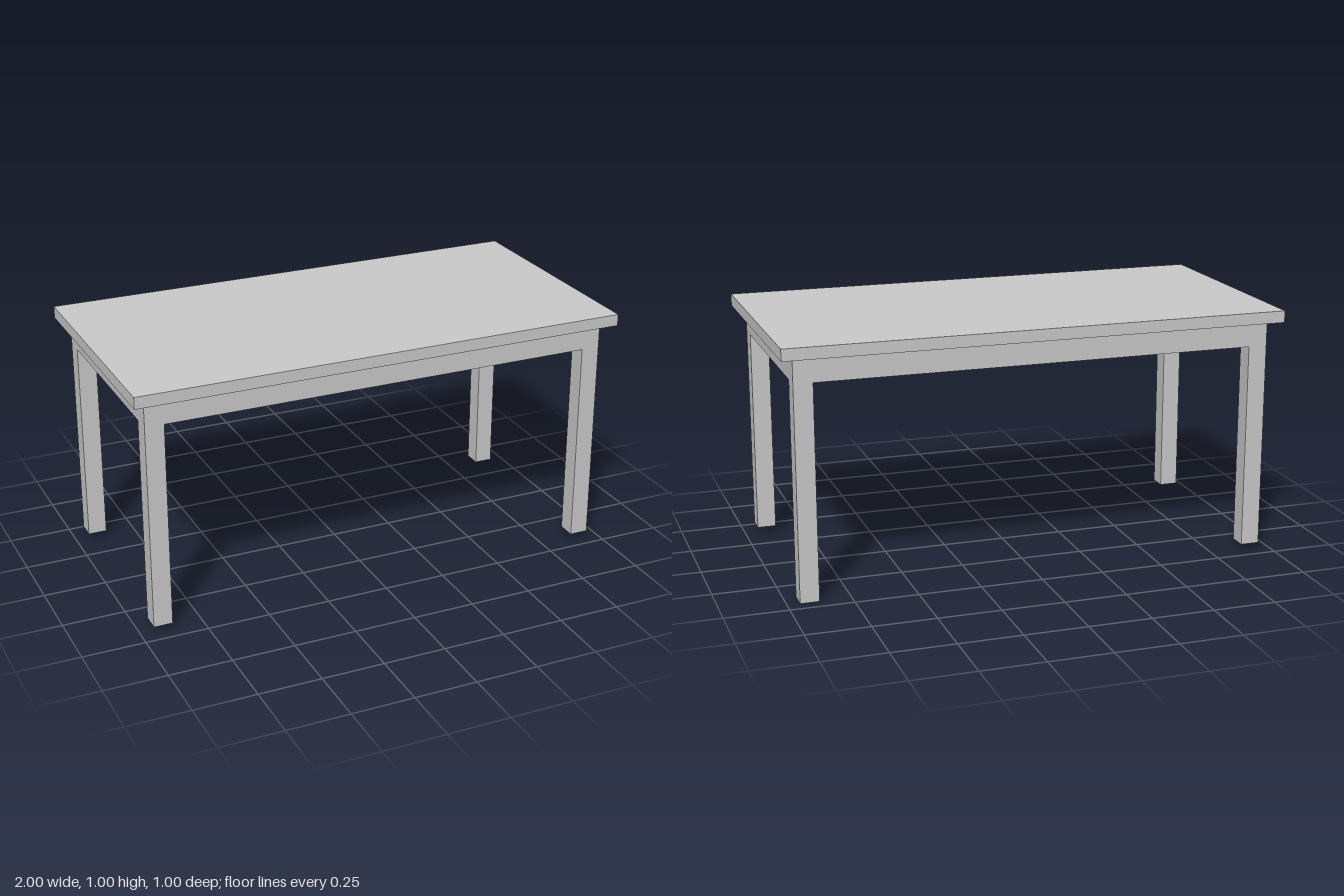
import * as THREE from 'three';

const TOP_UNDERSIDE = 0.953;
const LEG = 0.075; // square leg section
const LEG_X = 0.9125;
const LEG_Z = 0.4125;
const APRON_H = 0.1;
const APRON_T = 0.0375;

export function createModel() {
  const table = new THREE.Group();
  table.name = 'table';
  const material = new THREE.MeshStandardMaterial({ color: 0xcccccc, flatShading: true });

  const addBox = (name, w, h, d, x, y, z) => {
    const mesh = new THREE.Mesh(new THREE.BoxGeometry(w, h, d), material);
    mesh.name = name;
    mesh.position.set(x, y, z);
    table.add(mesh);
  };

  // Tabletop slab
  addBox('tabletop', 2, 1 - TOP_UNDERSIDE, 1, 0, (1 + TOP_UNDERSIDE) / 2, 0);

  // Four legs; the back left one is slightly longer
  for (const [sx, side] of [[-1, 'Right'], [1, 'Left']]) {
    for (const [sz, end] of [[-1, 'back'], [1, 'front']]) {
      const foot = sx > 0 && sz < 0 ? 0 : 0.027;
      addBox(`${end}${side}Leg`, LEG, TOP_UNDERSIDE - foot, LEG,
        sx * LEG_X, (TOP_UNDERSIDE + foot) / 2, sz * LEG_Z);
    }
  }

  // Aprons between the legs, flush with their outer faces
  const apronY = TOP_UNDERSIDE - APRON_H / 2;
  const inset = (LEG - APRON_T) / 2;
  for (const s of [-1, 1]) {
    addBox(s > 0 ? 'frontApron' : 'backApron', 2 * LEG_X - LEG, APRON_H, APRON_T,
      0, apronY, s * (LEG_Z + inset));
    addBox(s > 0 ? 'leftApron' : 'rightApron', APRON_T, APRON_H, 2 * LEG_Z - LEG,
      s * (LEG_X + inset), apronY, 0);
  }

  return table;
}
